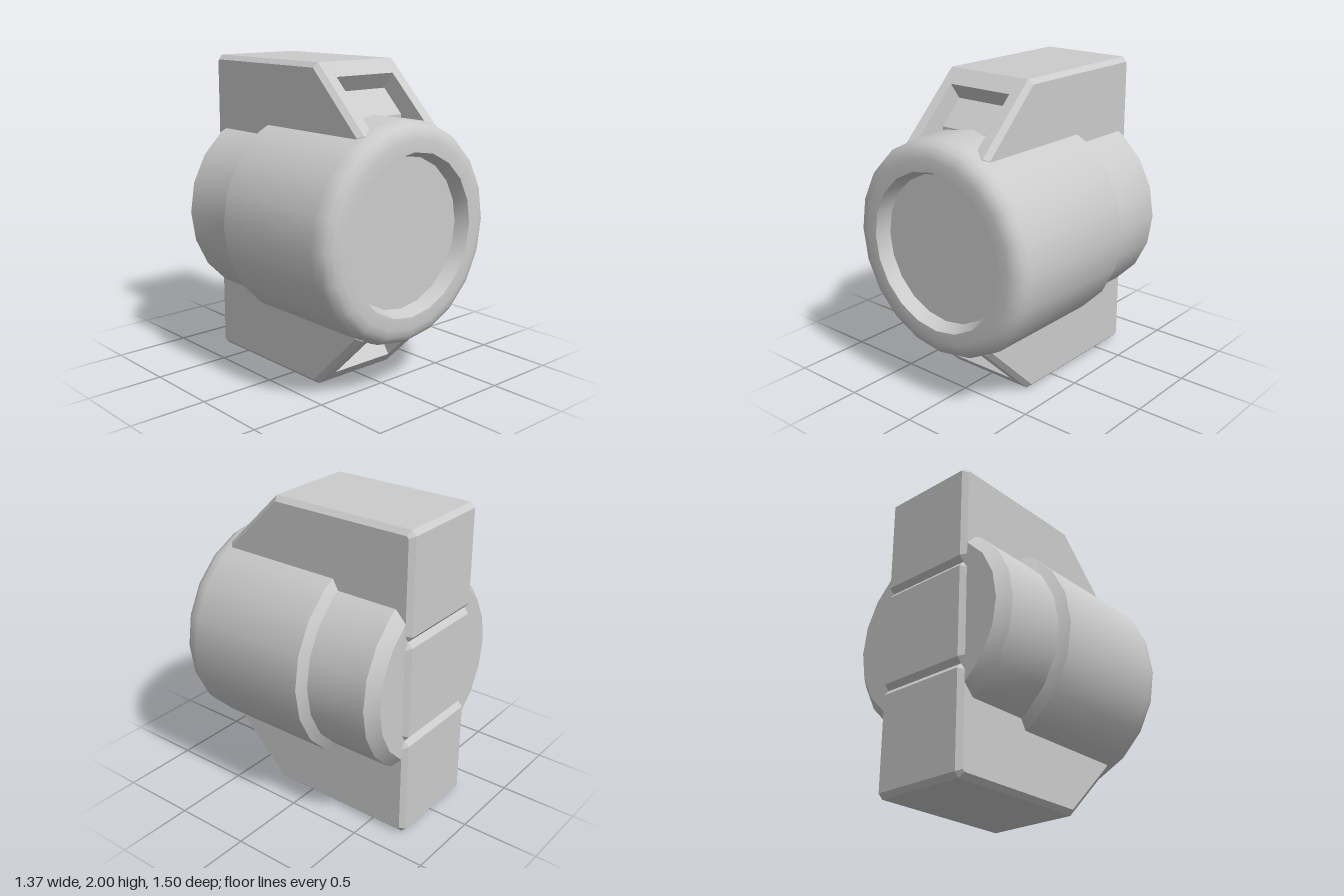
import * as THREE from 'three';
import { toCreasedNormals } from 'three/addons/utils/BufferGeometryUtils.js';

const RAIL = 0.23;    // half width of the pocket between the side rails
const HALF = 0.33;    // half width of the housing
const BEVEL = 0.03;

// Side profile of the housing from [z, y] points of its upper half, mirrored below
function sideShape(upper) {
  const points = [...upper, ...upper.map(([z, y]) => [z, -y]).reverse()];
  return new THREE.Shape(points.map(([z, y]) => new THREE.Vector2(-z, y)));
}

export function createModel() {
  const group = new THREE.Group();
  const material = new THREE.MeshStandardMaterial({ color: 0xcccccc });
  const flat = new THREE.MeshStandardMaterial({ color: 0xcccccc, flatShading: true });

  const add = (name, geometry, mat) => {
    const mesh = new THREE.Mesh(geometry, mat);
    mesh.name = name;
    mesh.position.y = 1;
    group.add(mesh);
  };

  // Stepped round body with a soft front rim and a shallow recess
  const profile = [
    [0, -0.72], [0.56, -0.72], [0.625, -0.65], [0.625, -0.24], [0.685, -0.2],
    [0.685, 0.62], [0.677, 0.675], [0.655, 0.715], [0.62, 0.74], [0.575, 0.75],
    [0.5, 0.75], [0.467, 0.66], [0, 0.66],
  ].map(([r, z]) => new THREE.Vector2(r, z));
  const body = new THREE.LatheGeometry(profile, 20).rotateX(Math.PI / 2);
  add('roundBody', toCreasedNormals(body, 0.55), material);

  // Back edge of the housing, with a V groove, and its top
  const back = [[-0.75, 0.295], [-0.72, 0.33], [-0.75, 0.365], [-0.75, 0.97], [-0.72, 1], [0.245, 1]];
  const railShape = sideShape([...back, [0.64, 0.61]]);
  const coreShape = sideShape([...back, [0.33, 0.917], [0.26, 0.82], [0.41, 0.67], [0.41, 0.4]]);

  // Housing core, cut away in front to leave the pockets
  const core = new THREE.ExtrudeGeometry(coreShape, { depth: RAIL * 2, bevelEnabled: false });
  core.translate(0, 0, -RAIL).rotateY(Math.PI / 2);
  add('housingCore', core, flat);

  // Side rails, chamfered on the outside and flattened on the inside
  const rail = new THREE.ExtrudeGeometry(railShape, {
    depth: HALF - BEVEL - RAIL, bevelEnabled: true, bevelSegments: 1,
    bevelSize: BEVEL, bevelThickness: BEVEL, bevelOffset: -BEVEL,
  });
  rail.translate(0, 0, RAIL).rotateY(Math.PI / 2);
  const position = rail.attributes.position;
  for (let i = 0; i < position.count; i++) {
    position.setX(i, Math.max(position.getX(i), RAIL));
  }
  add('leftRail', rail, flat);
  add('rightRail', rail.clone().rotateZ(Math.PI), flat);

  return group;
}
